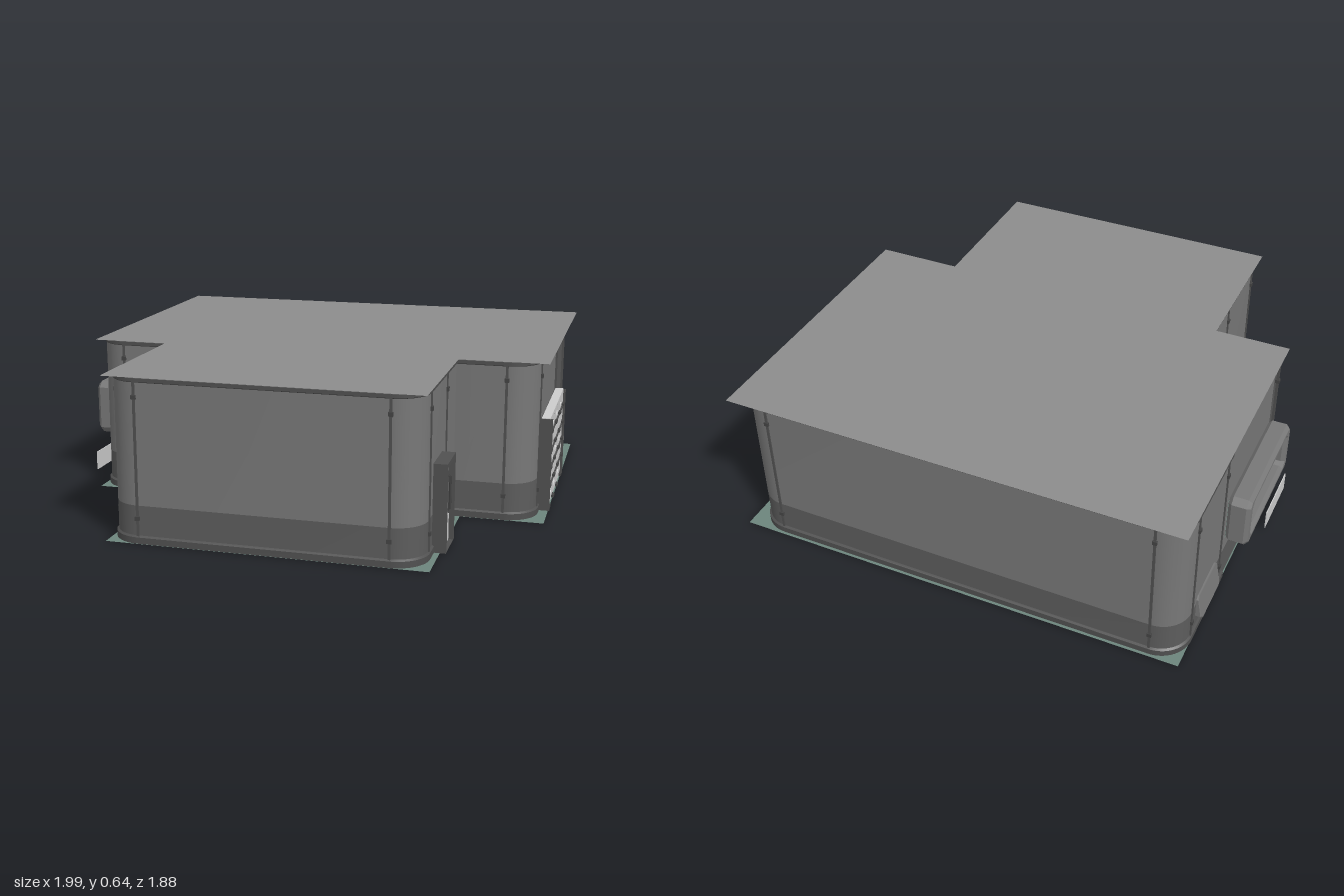
import * as THREE from 'three';
import { toCreasedNormals } from 'three/addons/utils/BufferGeometryUtils.js';

const mat = (color, side = THREE.FrontSide) => new THREE.MeshStandardMaterial({ color, side });
const D = THREE.DoubleSide;
const WALL = mat(0x777777, D), BAND = mat(0x5c5c5c, D), TRIM = mat(0x505050, D), ROOF = mat(0x8c8c8c, D);
const FLOOR = mat(0x6c857c, D), LIGHT = mat(0xcccccc, D), DARK = mat(0x444444);

const R = 0.12, H = Math.PI / 2;

// Wall runs in plan (x, z), pushed outward by o; they stop at the shutter and the hatch
function backRun(o) {
  const p = new THREE.Path(), r = R + o;
  p.moveTo(0.94 + o, -0.44);
  p.absarc(0.82, -0.8, r, 0, -H, true);
  p.absarc(-0.79, -0.8, r, -H, -2 * H, true);
  p.lineTo(-0.91 - o, -0.43);
  return p.getPoints(10);
}
function frontRun(o) {
  const p = new THREE.Path(), r = R + o;
  p.moveTo(-0.91 - o, 0.1);
  p.absarc(-0.79, 0.16, r, 2 * H, H, true);
  p.lineTo(-0.59 - o, 0.28 + o);
  p.absarc(-0.47, 0.805, r, 2 * H, H, true);
  p.absarc(0.5, 0.805, r, H, 0, true);
  p.lineTo(0.62 + o, 0.28 + o);
  p.absarc(0.82, 0.16, r, H, 0, true);
  p.lineTo(0.94 + o, 0.12);
  return p.getPoints(10);
}
const shutterRun = (o) => [new THREE.Vector2(0.94 + o, 0.12), new THREE.Vector2(0.94 + o, -0.44)];
const hatchRun = (o) => [new THREE.Vector2(-0.91 - o, -0.43), new THREE.Vector2(-0.91 - o, 0.1)];

// Sweep a profile of [offset, y] pairs along a wall run
function sweep(run, profile) {
  const rows = profile.map(([o, y]) => run(o).map((p) => [p.x, y, p.y]));
  const n = rows[0].length, idx = [];
  for (let j = 0; j < rows.length - 1; j++)
    for (let i = 0; i < n - 1; i++) {
      const a = j * n + i, b = a + 1, c = a + n, d = c + 1;
      idx.push(a, b, d, a, d, c);
    }
  const g = new THREE.BufferGeometry();
  g.setAttribute('position', new THREE.Float32BufferAttribute(rows.flat(2), 3));
  g.setIndex(idx);
  return toCreasedNormals(g, 0.5);
}

// Rectangle with cut corners, as (-z, y)
function cutRect(Type, z0, z1, y0, y1, c = 0) {
  const a = -z1, b = -z0;
  const pts = c
    ? [[a + c, y0], [b - c, y0], [b, y0 + c], [b, y1 - c], [b - c, y1], [a + c, y1], [a, y1 - c], [a, y0 + c]]
    : [[a, y0], [b, y0], [b, y1], [a, y1]];
  return new Type(pts.map((p) => new THREE.Vector2(...p)));
}

// Extrude a side shape along +x, starting at x
function sideExtrude(shape, x, depth, bevel = 0) {
  const g = new THREE.ExtrudeGeometry(shape, {
    depth: depth - bevel, bevelEnabled: bevel > 0, bevelSize: bevel, bevelThickness: bevel,
    bevelOffset: -bevel, bevelSegments: 1,
  });
  return g.rotateY(H).translate(x, 0, 0);
}

export function createModel() {
  const root = new THREE.Group();
  const add = (name, geo, m, parent = root) => {
    const mesh = new THREE.Mesh(geo, m);
    mesh.name = name;
    parent.add(mesh);
    return mesh;
  };
  const group = (name) => {
    const g = new THREE.Group();
    g.name = name;
    root.add(g);
    return g;
  };
  const box = (name, x0, x1, y0, y1, z0, z1, m, parent) =>
    add(name, new THREE.BoxGeometry(x1 - x0, y1 - y0, z1 - z0)
      .translate((x0 + x1) / 2, (y0 + y1) / 2, (z0 + z1) / 2), m, parent);

  // Roof and floor slabs
  const slab = (name, y, xr, m) => {
    const pts = [[-0.915, -0.94], [0.985, -0.94], [0.985, 0.29], [xr, 0.29],
      [xr, 0.935], [-0.6, 0.935], [-0.6, 0.29], [-0.915, 0.29]];
    const s = new THREE.Shape(pts.map(([x, z]) => new THREE.Vector2(x, -z)));
    add(name, new THREE.ShapeGeometry(s).rotateX(-H).translate(0, y, 0), m);
  };
  slab('roof', 0.645, 0.63, ROOF);
  slab('floor', 0.001, 0.65, FLOOR);

  // Walls, darker lower band, skirting and top trim
  for (const run of [backRun, frontRun]) {
    add('wall', sweep(run, [[0, 0.15], [0, 0.645]]), WALL);
    add('lowerBand', sweep(run, [[0, 0], [0, 0.15]]), BAND);
    add('skirting', sweep(run, [[0.008, 0.001], [0.008, 0.026], [0, 0.032]]), TRIM);
    add('topTrim', sweep(run, [[0, 0.625], [0.004, 0.628], [0.004, 0.642]]), TRIM);
  }
  add('wallAboveShutter', sweep(shutterRun, [[0, 0.38], [0, 0.645]]), WALL);
  add('wallAboveHatch', sweep(hatchRun, [[0, 0.4], [0, 0.645]]), WALL);
  add('wallBelowHatch', sweep(hatchRun, [[0, 0.15], [0, 0.21]]), WALL);
  add('lowerBandBelowHatch', sweep(hatchRun, [[0, 0], [0, 0.15]]), BAND);

  // Seam strips with clips
  const seams = group('seams');
  const seam = (x, z) => {
    box('seamStrip', x - 0.005, x + 0.005, 0.03, 0.64, z - 0.005, z + 0.005, TRIM, seams);
    for (const y of [0.1, 0.57])
      box('seamClip', x - 0.009, x + 0.009, y - 0.008, y + 0.008, z - 0.009, z + 0.009, DARK, seams);
  };
  for (const x of [-0.79, 0.82]) { seam(x, 0.28); seam(x, -0.92); }
  for (const x of [-0.47, 0.5]) seam(x, 0.925);
  for (const z of [0.805, 0.485]) { seam(-0.59, z); seam(0.62, z); }
  for (const z of [-0.8, -0.48, 0.16]) { seam(-0.91, z); seam(0.94, z); }

  // Roller shutter with slats and nine small windows
  const shutter = group('shutter');
  const rows = [0.002, 0.092, 0.167, 0.243, 0.322, 0.392];
  for (let i = 0; i < 5; i++) {
    const s = cutRect(THREE.Shape, -0.44, 0.12, rows[i], rows[i + 1] - 0.004);
    if (i % 2 === 0) {
      const y = [0.052, 0, 0.206, 0, 0.357][i];
      for (const z of [0, -0.16, -0.32])
        s.holes.push(cutRect(THREE.Path, z - 0.037, z + 0.037, y - 0.018, y + 0.018, 0.006));
    }
    add('shutterPanel', sideExtrude(s, 0.945, 0.035), LIGHT, shutter);
    if (i) box('shutterJoint', 0.945, 0.985, rows[i] - 0.007, rows[i] + 0.003, -0.44, 0.12, TRIM, shutter);
    for (const z of [0.08, -0.08, -0.24, -0.4])
      box('shutterHinge', 0.975, 0.99, rows[i], rows[i] + 0.01, z - 0.02, z + 0.02, DARK, shutter);
  }
  for (const z of [0.12, -0.44])
    box('shutterRail', 0.94, 0.99, 0.001, 0.385, z - 0.004, z + 0.004, TRIM, shutter);

  // Entrance door
  const door = group('door');
  const frame = cutRect(THREE.Shape, 0.56, 0.735, 0.002, 0.345);
  frame.holes.push(cutRect(THREE.Path, 0.577, 0.718, 0.004, 0.328));
  add('doorFrame', sideExtrude(frame, 0.62, 0.053), TRIM, door);
  box('doorLeaf', 0.62, 0.65, 0.003, 0.33, 0.575, 0.72, WALL, door);
  box('kickPlate', 0.65, 0.655, 0.004, 0.11, 0.58, 0.715, LIGHT, door);
  const grip = new THREE.CatmullRomCurve3([[0.65, 0.145], [0.668, 0.145], [0.668, 0.275], [0.65, 0.275]]
    .map(([x, y]) => new THREE.Vector3(x, y, 0.64)), false, 'catmullrom', 0.1);
  add('doorHandle', new THREE.TubeGeometry(grip, 16, 0.005, 6), DARK, door);

  // Projecting serving hatch
  const hatch = group('hatch');
  const surround = cutRect(THREE.Shape, -0.44, 0.115, 0.19, 0.42, 0.025);
  surround.holes.push(cutRect(THREE.Path, -0.385, 0.06, 0.232, 0.378, 0.015));
  add('hatchSurround', sideExtrude(surround, -0.985, 0.075, 0.015), WALL, hatch);
  // Light board below the hatch
  box('board', -0.997, -0.993, 0.03, 0.11, -0.12, 0.15, LIGHT);

  // Wedge-shaped vent covers on both sides
  for (const side of [-1, 1]) {
    const g = sideExtrude(cutRect(THREE.Shape, -0.752, -0.535, 0.072, 0.185, 0.015), 0, 0.03, 0.004);
    const p = g.attributes.position;
    for (let i = 0; i < p.count; i++)
      if (p.getX(i) > 0.01) p.setX(i, p.getX(i) * (1 - 0.75 * (p.getY(i) - 0.072) / 0.113));
    if (side < 0) g.rotateY(Math.PI).translate(0, 0, -1.287);
    g.translate(side < 0 ? -0.908 : 0.94, 0, 0);
    g.computeVertexNormals();
    add('ventCover', g, WALL);
  }
  return root;
}
